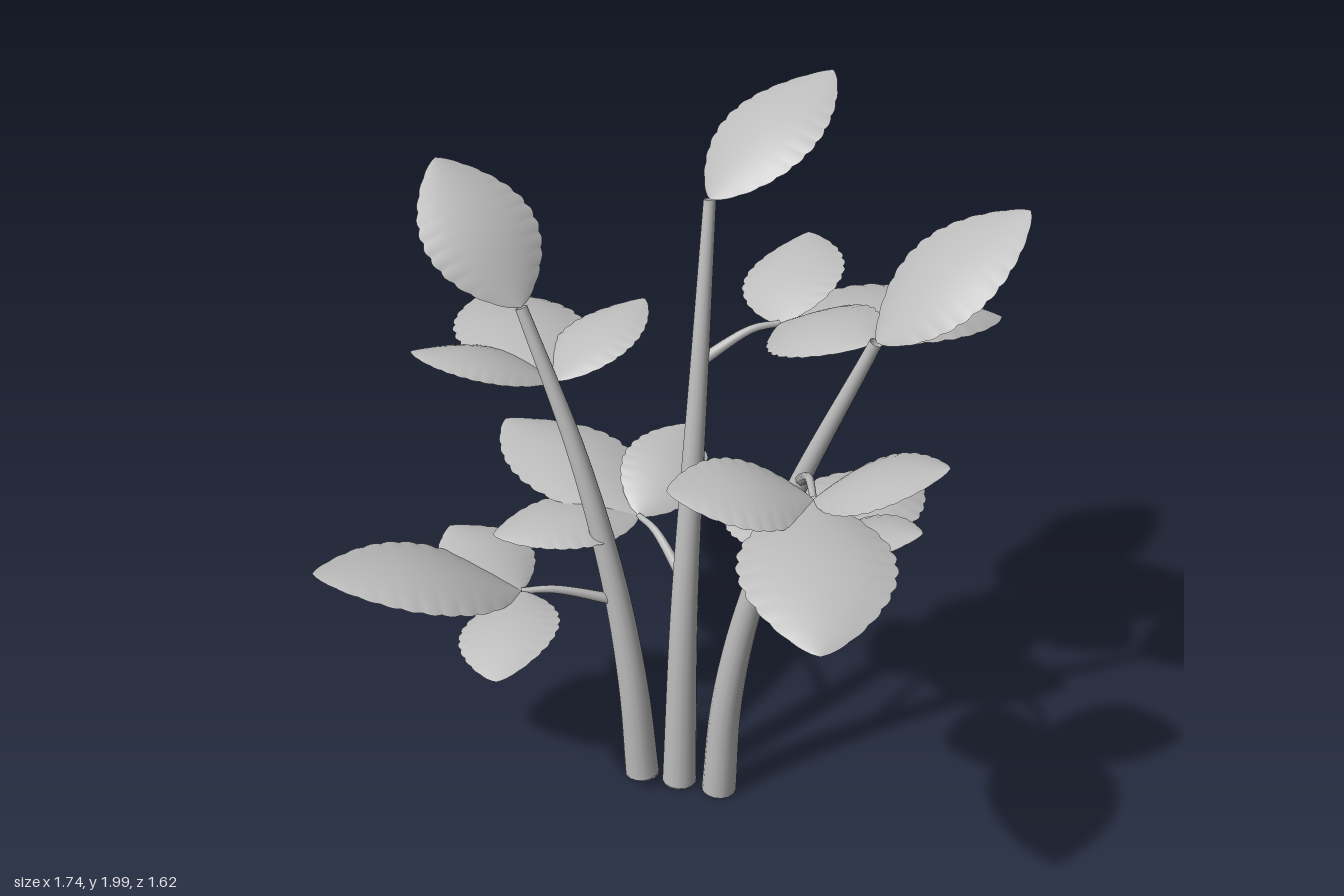
import * as THREE from 'three';

const V = (p) => new THREE.Vector3(...p);

// Tube along a smooth path, narrowing from r0 to r1
function taperedTube(points, r0, r1, steps, sides) {
  const curve = new THREE.CatmullRomCurve3(points.map(V));
  const geo = new THREE.TubeGeometry(curve, steps, 1, sides);
  const pos = geo.attributes.position;
  const v = new THREE.Vector3();
  for (let i = 0; i <= steps; i++) {
    const c = curve.getPointAt(i / steps);
    const r = THREE.MathUtils.lerp(r0, r1, i / steps);
    for (let j = 0; j <= sides; j++) {
      const k = i * (sides + 1) + j;
      v.fromBufferAttribute(pos, k).sub(c).multiplyScalar(r).add(c);
      pos.setXYZ(k, v.x, v.y, v.z);
    }
  }
  return geo;
}

// Arched, domed leaf with a scalloped edge, from base to tip; roll raises its right side
function leafGeometry(base, tip, width, rollDeg) {
  const NU = 66, NV = 8, SCALLOPS = 11;
  const a = V(base), axis = V(tip).sub(a);
  const length = axis.length();
  const dir = axis.clone().normalize();
  const side = new THREE.Vector3().crossVectors(dir, new THREE.Vector3(0, 1, 0)).normalize();
  side.applyAxisAngle(dir, -THREE.MathUtils.degToRad(rollDeg));
  const up = new THREE.Vector3().crossVectors(side, dir);
  const geo = new THREE.PlaneGeometry(1, 1, NV, NU);
  const pos = geo.attributes.position;
  for (let k = 0; k < pos.count; k++) {
    const t = pos.getY(k) + 0.5, s = pos.getX(k) * 2;
    const outline = Math.pow(Math.max(0, Math.sin(Math.PI * Math.pow(t, 0.94))), 0.75);
    const scallop = 1 + 0.045 * Math.abs(s) ** 3 * (Math.abs(Math.sin(Math.PI * SCALLOPS * t)) - 0.6);
    const w = s * outline * scallop * width / 2;
    const h = 0.085 * length * Math.sin(Math.PI * t) - 0.09 * width * s * s * outline;
    const p = a.clone().addScaledVector(dir, t * length).addScaledVector(side, w).addScaledVector(up, h);
    pos.setXYZ(k, p.x, p.y, p.z);
  }
  geo.computeVertexNormals();
  return geo;
}

export function createModel() {
  const plant = new THREE.Group();
  plant.name = 'plant';
  const grey = new THREE.MeshStandardMaterial({ color: 0xbcbcbc, side: THREE.DoubleSide });
  grey.name = 'plain grey';

  const add = (parent, name, geo) => {
    const mesh = new THREE.Mesh(geo, grey);
    mesh.name = name;
    parent.add(mesh);
    return mesh;
  };

  // Stems: path, then the tip, width and roll of the leaf on top
  const stems = [
    { name: 'rightStem', leaf: [[-0.765, 1.735, -0.25], 0.34, 8],
      path: [[-0.09, 0, 0], [-0.115, 0.3, 0], [-0.175, 0.62, -0.02], [-0.285, 1, -0.045], [-0.455, 1.41, -0.084]] },
    { name: 'middleStem', leaf: [[0.25, 1.99, -0.58], 0.33, 0],
      path: [[0.026, 0, 0], [0.028, 0.6, -0.035], [0.03, 1.3, -0.145], [0.026, 1.73, -0.23]] },
    { name: 'leftStem', leaf: [[0.86, 1.825, -0.21], 0.34, -8],
      path: [[0.147, 0, 0], [0.165, 0.3, 0], [0.22, 0.62, 0], [0.33, 1, 0], [0.54, 1.51, 0]] },
  ];
  for (const { name, path, leaf } of stems) {
    const group = new THREE.Group();
    group.name = name + 'Group';
    plant.add(group);
    add(group, name, taperedTube(path, 0.05, 0.017, 32, 14));
    const foot = add(group, name + 'Foot', new THREE.CircleGeometry(0.05, 14));
    foot.rotation.x = Math.PI / 2;
    foot.position.set(...path[0]);
    add(group, name + 'TopLeaf', leafGeometry(path.at(-1), ...leaf));
  }

  // Side branches: start on the stem, leaf joint, and three leaves (long one in the middle)
  const branches = [
    { name: 'middleUpper', from: [0.03, 1.3, -0.145], joint: [0.21, 1.38, -0.28], leaves: [
      [[0.18, 1.49, -0.645], 0.29, 15], [[0.745, 1.33, -0.62], 0.38, 0], [[0.52, 1.48, -0.05], 0.3, -12]] },
    { name: 'middleLower', from: [0.028, 0.66, -0.04], joint: [-0.16, 0.76, -0.18], leaves: [
      [[-0.125, 0.88, -0.535], 0.25, -18], [[-0.69, 0.83, -0.47], 0.36, 0], [[-0.51, 0.76, 0.05], 0.29, 0]] },
    { name: 'leftUpper', from: [0.36, 1.08, 0], joint: [0.47, 1.2, 0.28], leaves: [
      [[0.16, 1.28, 0.49], 0.3, 7], [[0.64, 1.12, 0.81], 0.38, 0], [[0.8, 1.34, 0.26], 0.3, 1]] },
    { name: 'leftLower', from: [0.215, 0.6, 0], joint: [0.285, 0.68, -0.27], leaves: [
      [[0.06, 0.76, -0.46], 0.29, 0], [[0.49, 0.69, -0.81], 0.37, 0], [[0.645, 0.83, -0.24], 0.3, 0]] },
    { name: 'rightUpper', from: [-0.31, 1.05, -0.05], joint: [-0.43, 1.12, -0.23], leaves: [
      [[-0.28, 1.25, -0.565], 0.29, 10], [[-0.85, 1.11, -0.73], 0.38, 0], [[-0.825, 1.19, -0.14], 0.3, -9]] },
    { name: 'rightLower', from: [-0.17, 0.58, -0.01], joint: [-0.4, 0.64, 0.12], leaves: [
      [[-0.31, 0.61, 0.5], 0.28, -11], [[-0.86, 0.8, 0.45], 0.38, 0], [[-0.68, 0.71, -0.03], 0.29, 0]] },
  ];
  for (const { name, from, joint, leaves } of branches) {
    const group = new THREE.Group();
    group.name = name + 'Branch';
    plant.add(group);
    const elbow = V(from).lerp(V(joint), 0.65);
    elbow.y = joint[1] - 0.005;
    add(group, name + 'Twig', taperedTube([from, elbow.toArray(), joint], 0.017, 0.009, 12, 8));
    leaves.forEach((leaf, i) => add(group, `${name}Leaf${i + 1}`, leafGeometry(joint, ...leaf)));
  }
  return plant;
}
